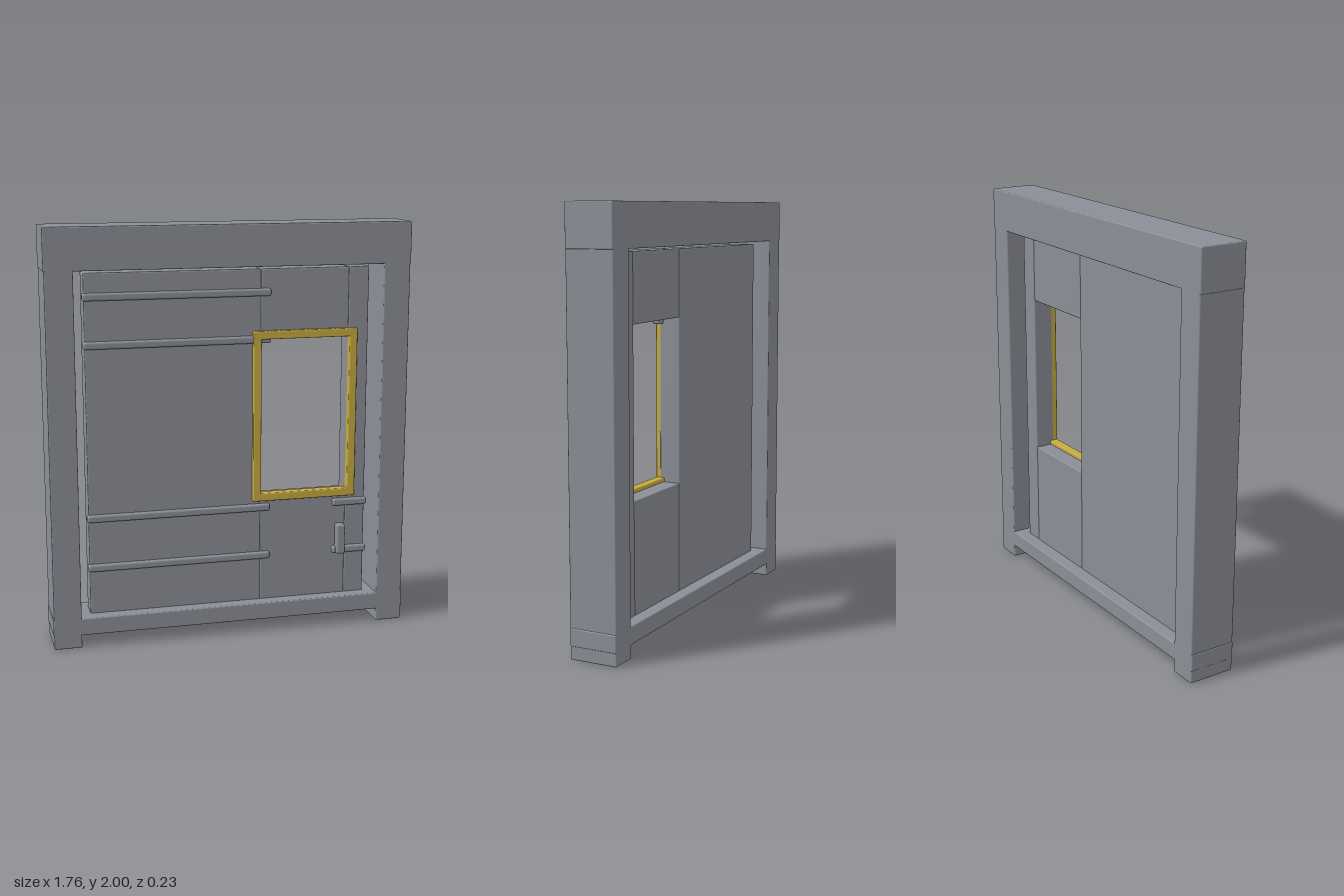
import * as THREE from 'three';
import { RoundedBoxGeometry } from 'three/addons/geometries/RoundedBoxGeometry.js';

export function createModel() {
  const model = new THREE.Group();
  model.name = 'slidingDoor';
  const steel = new THREE.MeshStandardMaterial({ name: 'steel grey', color: 0x8a8e96 });
  const brass = new THREE.MeshStandardMaterial({ name: 'brass yellow', color: 0xc6ab40 });

  // Bevelled block given by its limits on each axis
  function block(name, [x0, x1], [y0, y1], [z0, z1], bevel = 0.006, material = steel) {
    const geometry = new RoundedBoxGeometry(x1 - x0, y1 - y0, z1 - z0, 2, bevel);
    const mesh = new THREE.Mesh(geometry, material);
    mesh.position.set((x0 + x1) / 2, (y0 + y1) / 2, (z0 + z1) / 2);
    mesh.name = name;
    model.add(mesh);
  }

  // Outer frame: posts, lintel and raised sill
  const deep = [-0.117, 0.117];
  block('leftPost', [0.745, 0.877], [0, 1.82], deep);
  block('rightPost', [-0.877, -0.745], [0, 1.82], deep);
  block('lintel', [-0.88, 0.88], [1.8, 2], deep);
  block('sill', [-0.88, 0.88], [0.062, 0.146], deep);

  // Door leaf in vertical panels, with an opening in the middle one
  const leaf = [-0.052, 0.052];
  block('widePanel', [-0.692, 0.154], [0.12, 1.785], leaf);
  block('edgePanel', [0.592, 0.692], [0.12, 1.785], leaf);
  block('lowerPanel', [0.154, 0.592], [0.12, 0.675], leaf);
  block('upperPanel', [0.154, 0.592], [1.465, 1.785], leaf);

  // Horizontal straps
  for (const y of [0.375, 0.62, 1.45, 1.675]) {
    block('longStrap', [-0.7, 0.2], [y - 0.018, y + 0.018], [0.032, 0.07], 0.011);
  }
  for (const y of [0.375, 0.62]) {
    block('shortStrap', [0.523, 0.7], [y - 0.018, y + 0.018], [0.032, 0.07], 0.011);
  }
  block('handle', [0.54, 0.582], [0.36, 0.51], [0.045, 0.095], 0.008);

  // Window surround
  const rim = [0.03, 0.075];
  block('windowRimRight', [0.112, 0.152], [0.655, 1.49], rim, 0.006, brass);
  block('windowRimLeft', [0.592, 0.632], [0.655, 1.49], rim, 0.006, brass);
  block('windowRimBottom', [0.113, 0.631], [0.654, 0.694], rim, 0.006, brass);
  block('windowRimTop', [0.113, 0.631], [1.451, 1.491], rim, 0.006, brass);

  return model;
}
